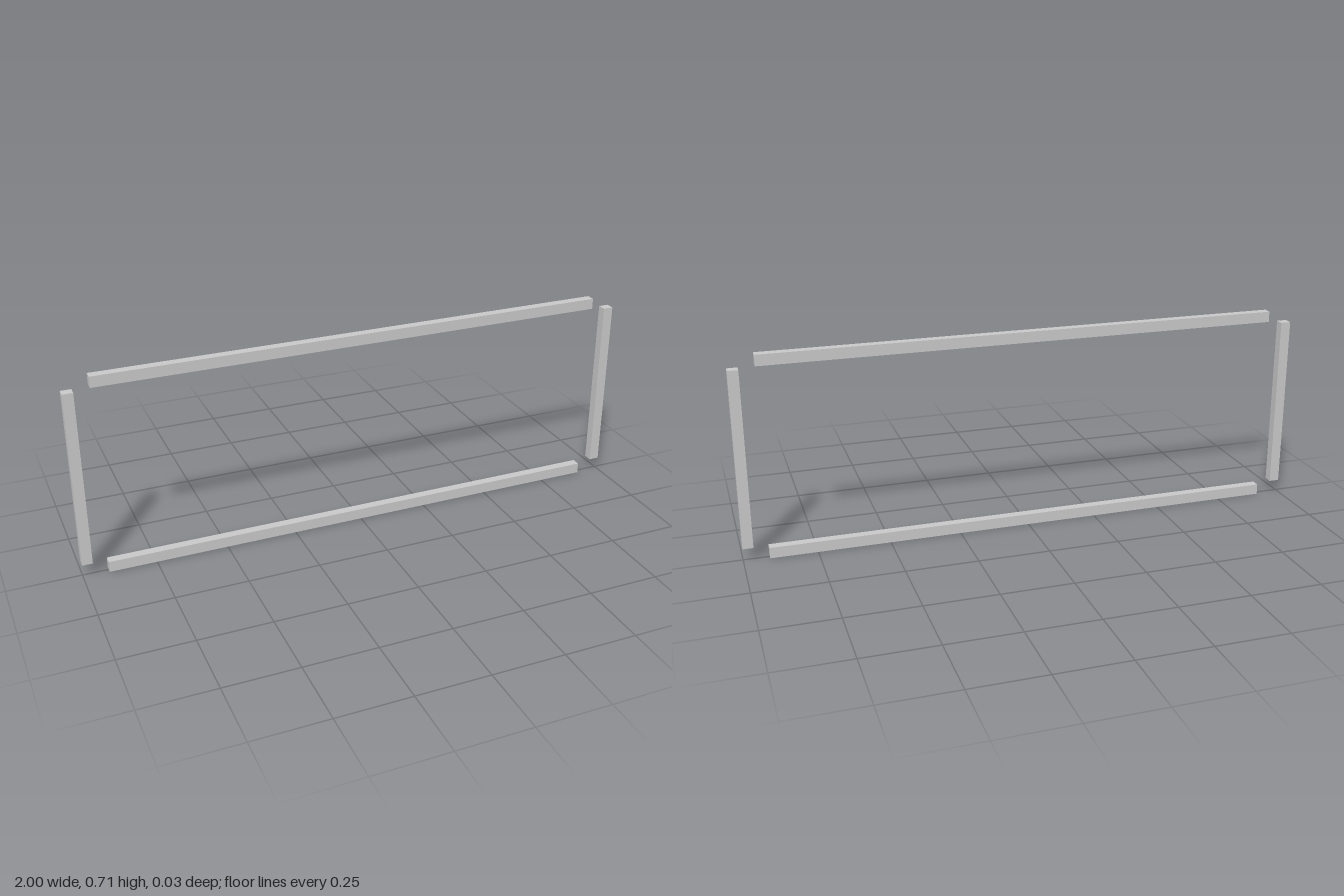
import * as THREE from 'three';

export function createModel() {
  const group = new THREE.Group();
  const grey = new THREE.MeshStandardMaterial({ color: 0xc8c8c8 });
  grey.name = 'lightGrey';
  const depth = 0.032;

  function bar(name, width, height, x, y) {
    const mesh = new THREE.Mesh(new THREE.BoxGeometry(width, height, depth), grey);
    mesh.name = name;
    mesh.position.set(x, y, 0);
    group.add(mesh);
  }

  // Long horizontal rails
  bar('bottomRail', 1.824, 0.038, 0, 0.019);
  bar('topRail', 1.824, 0.038, 0, 0.6915);

  // Upright posts, set apart from the rail ends
  for (const side of [-1, 1]) {
    bar(side > 0 ? 'leftPost' : 'rightPost', 0.036, 0.619, side * 0.982, 0.3555);
  }
  return group;
}
